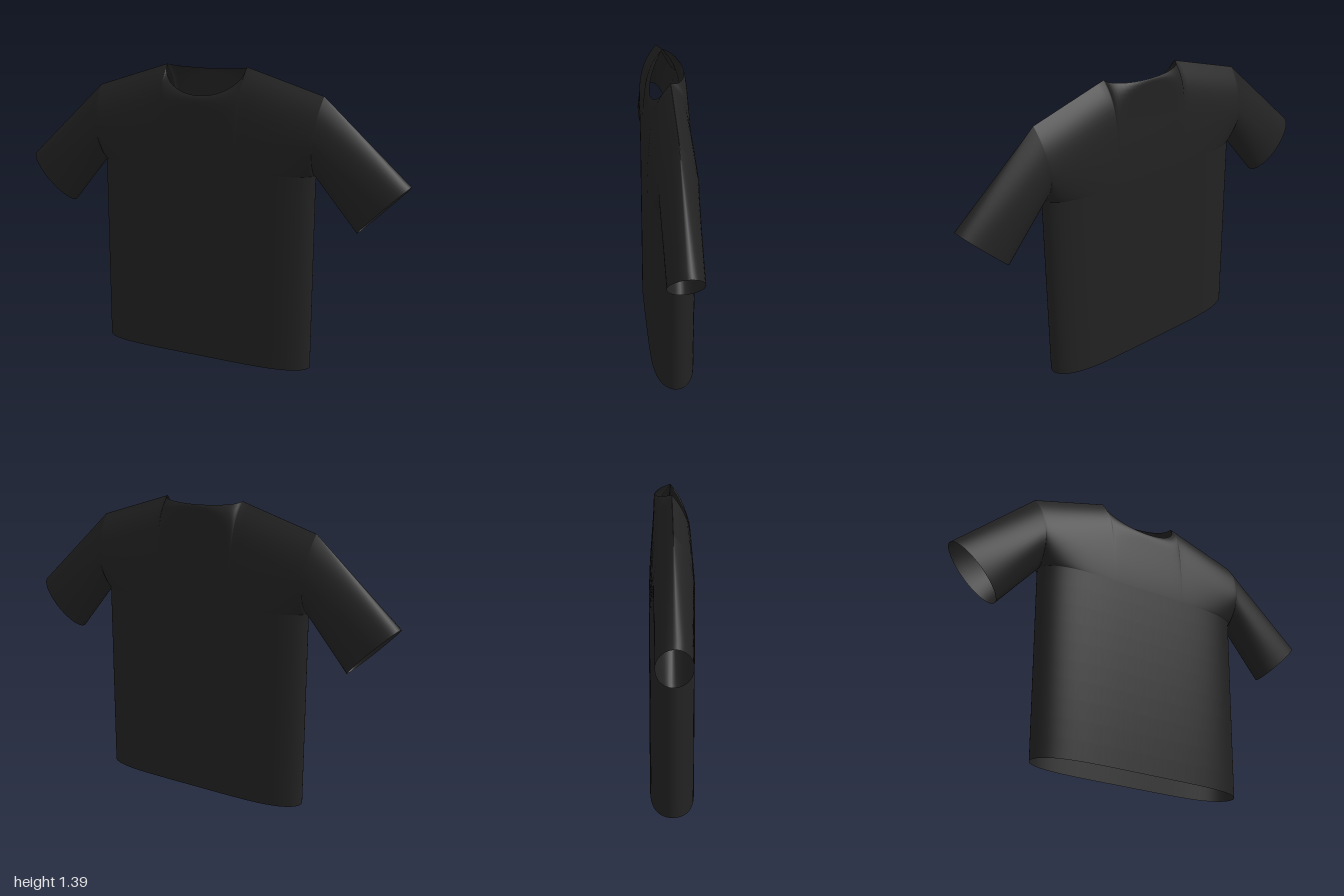
import * as THREE from 'three';
import { mergeVertices } from 'three/addons/utils/BufferGeometryUtils.js';

const NECK = 0.21, ARMPIT = 0.92, SHOULDER_X = 0.59, SHOULDER_Y = 1.28, COLLAR_Y = 1.395;
const NECK_S = NECK / SHOULDER_X;
const LOW_ROWS = 10, UP_ROWS = 24, SLEEVE_STEPS = 14;
const mix = THREE.MathUtils.lerp;

// Column positions from side to side (-1..1), denser at the side seams and neck corners
const half = [];
for (let i = 0; i <= 18; i++) half.push(NECK_S + (1 - NECK_S) * Math.sin((i / 18) * Math.PI / 2));
const neck = [];
for (let i = 1; i < 24; i++) neck.push(-NECK_S * Math.cos((i / 24) * Math.PI));
const columns = [...half.map((s) => -s).reverse(), ...neck, ...half];

// Top edge of a panel: sloping shoulder outside, scooped neckline inside
function topEdge(s, side) {
  const a = Math.abs(s);
  if (a >= NECK_S) return { y: mix(COLLAR_Y, SHOULDER_Y, (a - NECK_S) / (1 - NECK_S)), z: 0 };
  const e = Math.sqrt(1 - (a / NECK_S) ** 2);
  return { y: COLLAR_Y - (side > 0 ? 0.135 : 0.02) * e, z: 0.075 * e };
}

// Point on the front (side 1) or back (side -1) panel; v is 0 at the armpit, 1 at the top edge
function panelPoint(s, row, side) {
  const top = topEdge(s, side);
  const v = row < LOW_ROWS ? 0 : (1 - Math.cos(((row - LOW_ROWS) / UP_ROWS) * Math.PI)) / 2;
  const y = row < LOW_ROWS ? ARMPIT * row / LOW_ROWS : mix(ARMPIT, top.y, v);
  const width = mix(0.549, 0.556, Math.min(y / ARMPIT, 1)) + 0.034 * v;
  const depth = 0.105 - 0.025 * THREE.MathUtils.smoothstep(y, 0.9, 1.39);
  const round = Math.sqrt(Math.max(0, 1 - Math.abs(s) ** 5));
  const armhole = 0.92 * Math.sin(Math.PI * Math.min(v, 0.5)) ** 0.7;
  const swell = depth * (round + (1 - round) * armhole) - top.z;
  const z = swell < 1e-5 ? top.z : top.z + swell * Math.tanh(0.8 * (top.y - y) / swell);
  return [s * width, y, side * z];
}

// Point on a sleeve, lofted from the armhole to the oval cuff
function sleevePoint(mirror, t, k) {
  const side = k <= UP_ROWS ? 1 : -1;
  const row = side > 0 ? k : 2 * UP_ROWS - k;
  const a = panelPoint(1, LOW_ROWS + row, side);
  const angle = (row / UP_ROWS) * Math.PI;
  const c = -Math.cos(angle);
  const cuff = [0.882 + 0.118 * c, 0.795 + 0.115 * c, side * 0.078 * Math.sin(angle)];
  const p = a.map((n, i) => mix(n, cuff[i], t / SLEEVE_STEPS));
  return [mirror * p[0], p[1], p[2]];
}

// Triangles of a grid of points
function grid(nu, nv, flip, point) {
  const out = [];
  for (let i = 0; i < nu; i++) {
    for (let j = 0; j < nv; j++) {
      const a = point(i, j), b = point(i + 1, j), c = point(i + 1, j + 1), d = point(i, j + 1);
      const tris = flip ? [a, c, b, a, d, c] : [a, b, c, a, c, d];
      for (const p of tris) out.push(...p);
    }
  }
  return out;
}

export function createModel() {
  const group = new THREE.Group();
  group.name = 'shirt';
  const material = new THREE.MeshStandardMaterial({ color: 0x222222, side: THREE.DoubleSide });

  const rows = LOW_ROWS + UP_ROWS;
  const panel = (side) => grid(columns.length - 1, rows, side < 0, (i, j) => panelPoint(columns[i], j, side));
  const sleeve = (m) => grid(SLEEVE_STEPS, 2 * UP_ROWS, m < 0, (t, k) => sleevePoint(m, t, k));
  const parts = [
    ['frontPanel', panel(1)],
    ['backPanel', panel(-1)],
    ['leftSleeve', sleeve(1)],
    ['rightSleeve', sleeve(-1)],
  ];

  // Smooth normals across all seams, then split back into named parts
  let whole = new THREE.BufferGeometry();
  whole.setAttribute('position', new THREE.Float32BufferAttribute(parts.flatMap((p) => p[1]), 3));
  whole = mergeVertices(whole, 1e-4);
  whole.computeVertexNormals();
  whole = whole.toNonIndexed();

  let start = 0;
  for (const [name, points] of parts) {
    const geometry = new THREE.BufferGeometry();
    for (const key of ['position', 'normal']) {
      const data = whole.attributes[key].array.slice(start, start + points.length);
      geometry.setAttribute(key, new THREE.BufferAttribute(data, 3));
    }
    start += points.length;
    const mesh = new THREE.Mesh(geometry, material);
    mesh.name = name;
    group.add(mesh);
  }
  return group;
}
